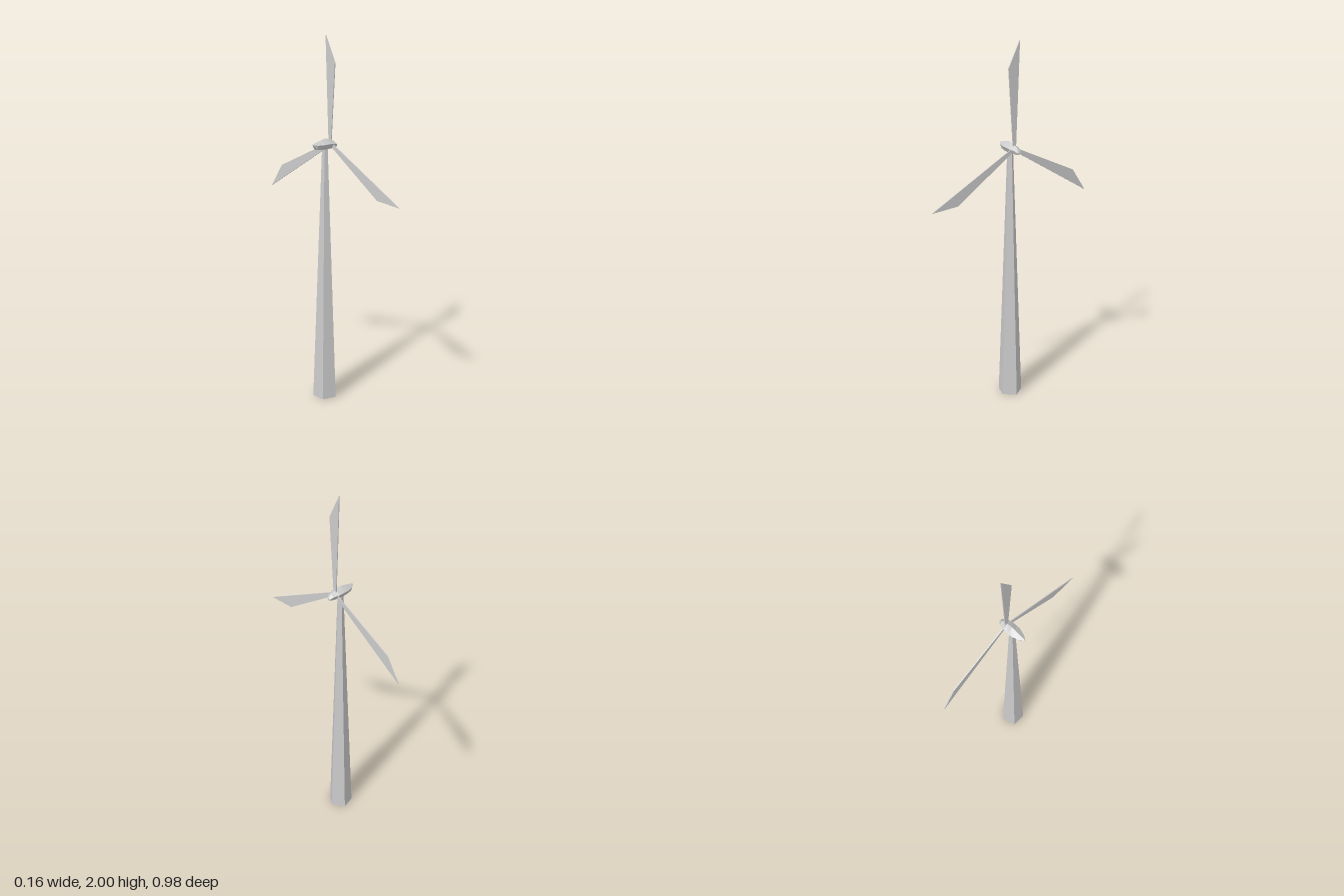
import * as THREE from 'three';

const AXIS_Z = -0.018; // the tower and nacelle share this centre line
const HUB_Y = 1.433;

const material = new THREE.MeshStandardMaterial({ color: 0xcccccc, flatShading: true, side: THREE.DoubleSide });

function part(name, geometry) {
  const mesh = new THREE.Mesh(geometry, material);
  mesh.name = name;
  return mesh;
}

// Joins five-sided cross-sections along x: ridge, shoulders and flat underside
function nacelleGeometry() {
  // x, ridge height, shoulder height, underside height, half width
  const sections = [
    [-0.085, 1.446, 1.442, 1.437, 0.006],
    [-0.066, 1.452, 1.438, 1.414, 0.018],
    [-0.025, 1.461, 1.438, 1.411, 0.031],
    [0.0, 1.465, 1.438, 1.41, 0.031],
    [0.03, 1.458, 1.436, 1.41, 0.031],
    [0.064, 1.443, 1.431, 1.41, 0.02],
    [0.08, 1.424, 1.42, 1.412, 0.009],
  ];
  const positions = [];
  const index = [];
  const n = 5;
  for (const [x, top, mid, low, w] of sections) {
    positions.push(x, top, 0, x, mid, w, x, low, w * 0.55, x, low, -w * 0.55, x, mid, -w);
  }
  for (let i = 0; i < sections.length - 1; i++) {
    for (let k = 0; k < n; k++) {
      const a = i * n + k;
      const b = i * n + ((k + 1) % n);
      index.push(a, b, b + n, a, b + n, a + n);
    }
  }
  // End caps
  const last = (sections.length - 1) * n;
  for (let k = 1; k < n - 1; k++) {
    index.push(0, k + 1, k, last, last + k, last + k + 1);
  }
  const geometry = new THREE.BufferGeometry();
  geometry.setAttribute('position', new THREE.Float32BufferAttribute(positions, 3));
  geometry.setIndex(index);
  geometry.computeVertexNormals();
  return geometry;
}

// Thin blade that widens outward and ends in a slanted tip
function bladeGeometry() {
  const outline = new THREE.Shape([
    new THREE.Vector2(-0.008, 0),
    new THREE.Vector2(0.01, 0),
    new THREE.Vector2(0.033, 0.567),
    new THREE.Vector2(-0.037, 0.428),
  ]);
  const geometry = new THREE.ExtrudeGeometry(outline, { depth: 0.005, bevelEnabled: false });
  geometry.translate(0, 0, -0.0025);
  geometry.rotateY(Math.PI / 2);
  return geometry;
}

export function createModel() {
  const model = new THREE.Group();
  model.name = 'windTurbine';

  // Five-sided tapering tower with one corner toward the rotor
  const tower = new THREE.CylinderGeometry(0.016, 0.067, 1.42, 5);
  tower.rotateY(Math.PI / 2);
  tower.translate(0, 0.71, AXIS_Z);
  model.add(part('tower', tower));

  const nacelle = part('nacelle', nacelleGeometry());
  nacelle.position.z = AXIS_Z;
  model.add(nacelle);

  // Three blades evenly spaced around the hub
  const rotor = new THREE.Group();
  rotor.name = 'rotor';
  rotor.position.set(0.037, HUB_Y, AXIS_Z);
  const blade = bladeGeometry();
  for (let i = 0; i < 3; i++) {
    const mesh = part('blade', blade);
    mesh.rotation.x = (i * 2 * Math.PI) / 3;
    rotor.add(mesh);
  }
  model.add(rotor);

  return model;
}
